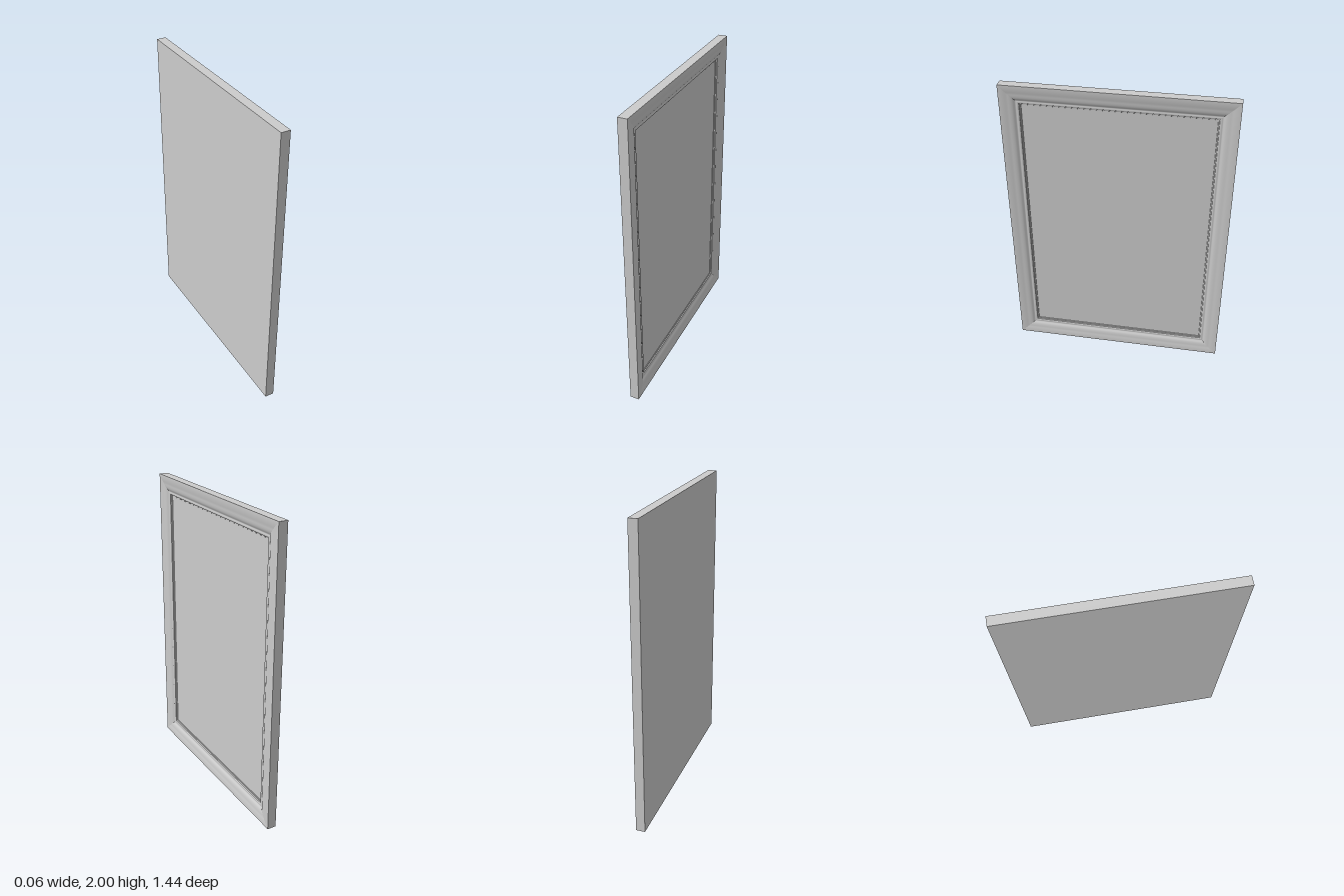
import * as THREE from 'three';
import { mergeGeometries, toCreasedNormals } from 'three/addons/utils/BufferGeometryUtils.js';

const HALF_W = 0.72, HEIGHT = 2, HALF_T = 0.03;
const BORDER = 0.13, PANEL_X = 0;

// Moulding cross-section: [inset from the outer edge, x], back face round to the panel
const profile = [
  [BORDER, -HALF_T], [0, -HALF_T], [0, HALF_T],
  [0.042, HALF_T], [0.047, 0.028], [0.06, 0.027], [0.072, 0.0255],
  [0.082, 0.023], [0.09, 0.0195], [0.096, 0.0155], [0.1, 0.013],
  [0.104, 0.013], [0.108, 0.0142], [0.112, 0.0145], [0.116, 0.0138], [0.12, 0.011],
  [0.122, 0.004], [0.128, 0.003], [BORDER, PANEL_X],
];

// Corner k of the rectangle at a given inset, counter-clockwise seen from +x
function corner(k, [inset, x]) {
  const z = (k === 0 || k === 3 ? 1 : -1) * (HALF_W - inset);
  const y = k < 2 ? inset : HEIGHT - inset;
  return [x, y, z];
}

// One mitred length of moulding between corners k and k + 1
function frameSide(k) {
  const next = (k + 1) % 4, positions = [];
  for (let i = 0; i < profile.length - 1; i++) {
    const a = corner(k, profile[i]), b = corner(next, profile[i]);
    const c = corner(next, profile[i + 1]), d = corner(k, profile[i + 1]);
    positions.push(...a, ...b, ...c, ...a, ...c, ...d);
  }
  const geometry = new THREE.BufferGeometry();
  geometry.setAttribute('position', new THREE.Float32BufferAttribute(positions, 3));
  geometry.computeVertexNormals();
  return toCreasedNormals(geometry, 0.6);
}

export function createModel() {
  const group = new THREE.Group();
  group.name = 'cabinetDoor';
  const material = new THREE.MeshStandardMaterial({ color: 0xcccccc });

  // Mitred frame with a moulded inner edge
  const frame = new THREE.Mesh(mergeGeometries([0, 1, 2, 3].map(frameSide)), material);
  frame.name = 'frame';

  // Recessed flat panel, flush with the frame at the back
  const depth = PANEL_X + HALF_T;
  const panel = new THREE.Mesh(
    new THREE.BoxGeometry(depth, HEIGHT - 2 * BORDER, 2 * (HALF_W - BORDER)), material);
  panel.position.set(PANEL_X - depth / 2, HEIGHT / 2, 0);
  panel.name = 'panel';

  group.add(frame, panel);
  return group;
}
